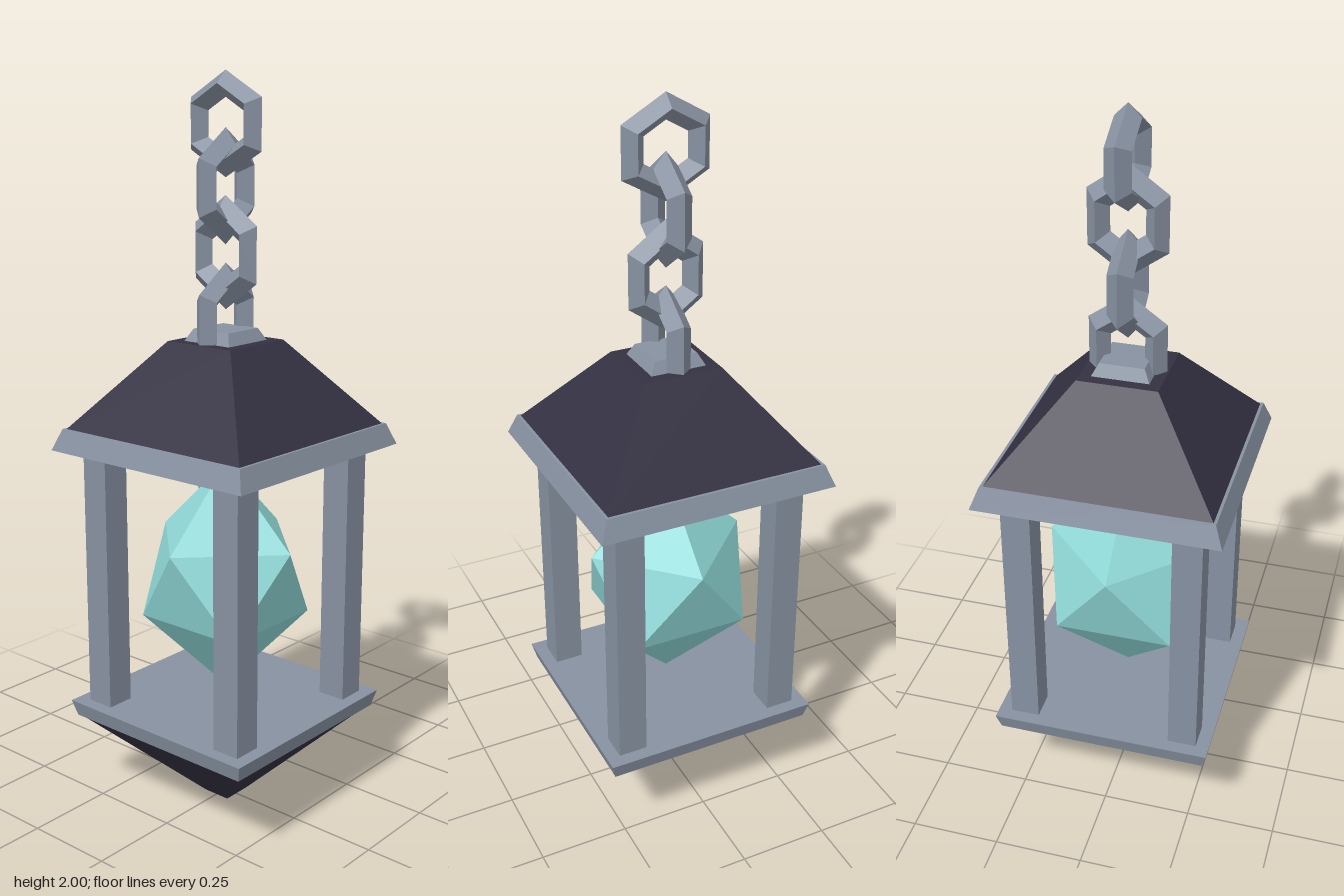
import * as THREE from 'three';

const iron = new THREE.MeshStandardMaterial({ color: 0x8791a1 });
iron.name = 'grey iron';
const slate = new THREE.MeshStandardMaterial({ color: 0x343142 });
slate.name = 'dark slate';
const glow = new THREE.MeshStandardMaterial({ color: 0x90dad8 });
glow.name = 'pale teal crystal';

// Faceted copy of a geometry: one normal per face
function faceted(geometry) {
  const flat = geometry.index ? geometry.toNonIndexed() : geometry;
  flat.computeVertexNormals();
  return flat;
}

function addPart(group, name, geometry, material) {
  const mesh = new THREE.Mesh(faceted(geometry), material);
  mesh.name = name;
  group.add(mesh);
  return mesh;
}

// Square frustum given by half widths at its bottom and top heights
function frustum(halfBottom, halfTop, y0, y1) {
  const g = new THREE.CylinderGeometry(halfTop * Math.SQRT2, halfBottom * Math.SQRT2, y1 - y0, 4);
  return g.rotateY(Math.PI / 4).translate(0, (y0 + y1) / 2, 0);
}

// Four-sided gem: two rings turned 45 degrees to each other, with a point at each end
function crystalGeometry() {
  const ring = (radius, y, offset) => (i) => {
    const a = offset + (i * Math.PI) / 2;
    return [radius * Math.sin(a), y, radius * Math.cos(a)];
  };
  const upper = ring(0.225, 0.765, 0);
  const lower = ring(0.23, 0.545, Math.PI / 4);
  const top = [0, 0.98, 0];
  const bottom = [0, 0.33, 0];
  const points = [];
  for (let i = 0; i < 4; i++) {
    points.push(
      top, upper(i), upper(i + 1),
      upper(i), lower(i), upper(i + 1),
      lower(i), lower(i + 1), upper(i + 1),
      lower(i + 1), lower(i), bottom
    );
  }
  const g = new THREE.BufferGeometry();
  g.setAttribute('position', new THREE.Float32BufferAttribute(points.flat(), 3));
  return g;
}

// Six-sided link with a diamond section, point upwards
function linkGeometry(outer, stretch, turned) {
  const tube = 0.034;
  const g = new THREE.TorusGeometry(outer - tube, tube, 4, 6);
  g.rotateZ(Math.PI / 2).scale(1, stretch, 1);
  return turned ? g.rotateY(Math.PI / 2) : g;
}

export function createModel() {
  const lantern = new THREE.Group();
  lantern.name = 'lantern';

  // Base
  addPart(lantern, 'basePoint', frustum(0.04, 0.29, 0, 0.25), slate);
  addPart(lantern, 'basePlate', frustum(0.295, 0.307, 0.25, 0.295), iron);

  // Corner posts
  for (const x of [-0.23, 0.23]) {
    for (const z of [-0.23, 0.23]) {
      const post = addPart(lantern, 'post', new THREE.BoxGeometry(0.08, 0.75, 0.08), iron);
      post.position.set(x, 0.66, z);
    }
  }

  // Crystal
  addPart(lantern, 'crystal', crystalGeometry(), glow);

  // Roof
  addPart(lantern, 'roofRim', frustum(0.33, 0.308, 1.022, 1.08), iron);
  addPart(lantern, 'roof', frustum(0.3, 0.108, 1.08, 1.313), slate);
  addPart(lantern, 'roofCap', frustum(0.077, 0.06, 1.313, 1.345), iron);

  // Chain, each link a quarter turn from the one below
  const chain = new THREE.Group();
  chain.name = 'chain';
  lantern.add(chain);
  [1.37, 1.543, 1.712].forEach((y, i) => {
    addPart(chain, 'chainLink', linkGeometry(0.12, 1.23, i % 2 === 1), iron).position.y = y;
  });
  addPart(chain, 'topLink', linkGeometry(0.136, 0.974, true), iron).position.y = 1.8675;

  return lantern;
}
